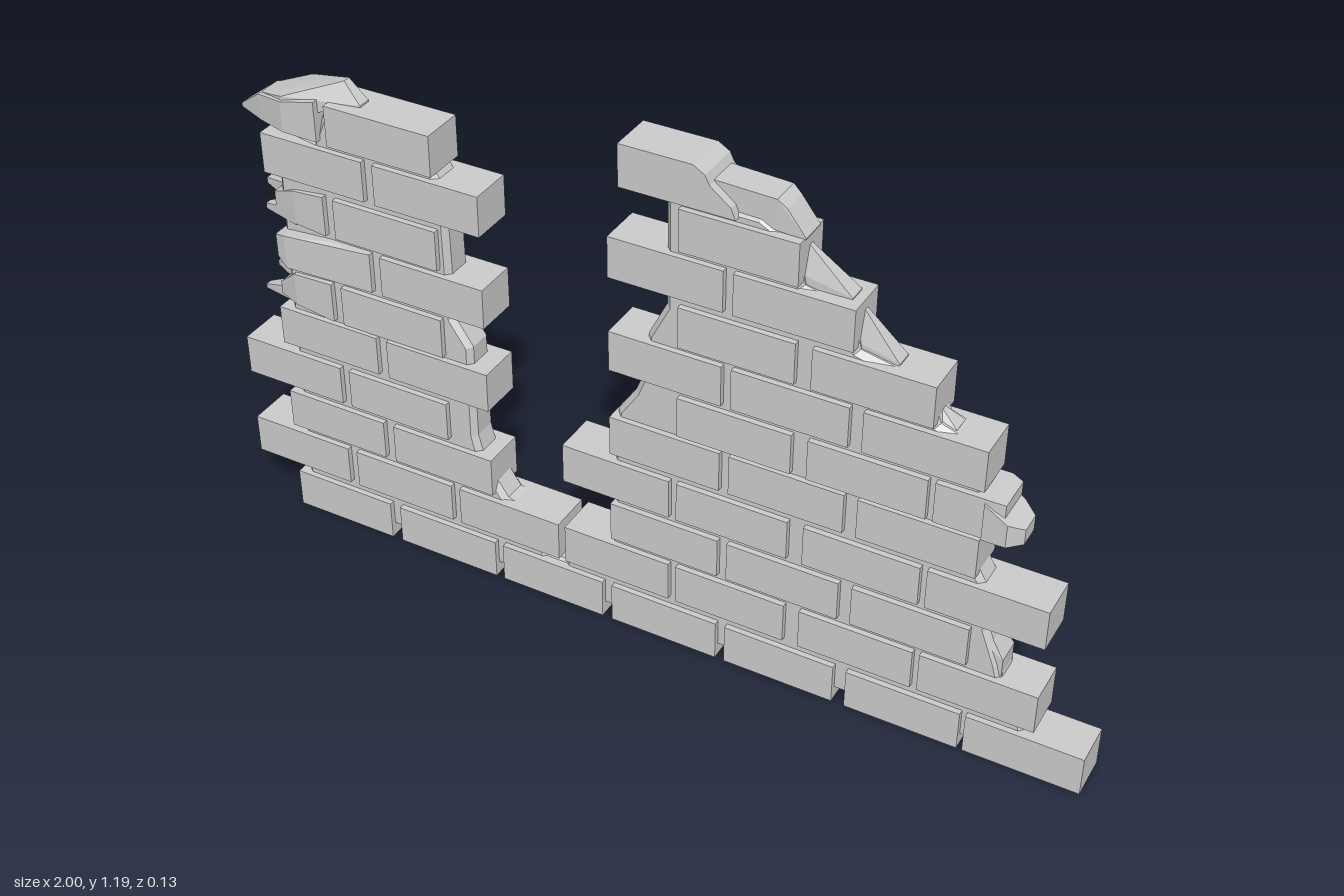
import * as THREE from 'three';
import { ConvexGeometry } from 'three/addons/geometries/ConvexGeometry.js';

const BRICK = { w: 0.252, h: 0.094, d: 0.1 };
// Height of each course, and brick starts for the two alternating bonds
const COURSE_Y = [0, 0.117, 0.227, 0.338, 0.453, 0.555, 0.664, 0.771, 0.885, 0.992, 1.096];
const STARTS = [
  [-0.895, -0.617, -0.345, -0.07, 0.203, 0.484, 0.748],
  [-1, -0.725, -0.452, -0.184, 0.085, 0.372, 0.639],
];
// Whole bricks remaining in each course
const WHOLE = [
  [0, 1, 2, 3, 4, 5, 6], [0, 1, 2, 3, 4, 5, 6], [0, 1, 3, 4, 5], [0, 1, 3, 4, 5, 6],
  [0, 1, 3, 4, 5], [1, 4, 5], [1, 3, 4, 5], [1, 4, 5], [0, 1, 3, 4], [1, 4],
];

export function createModel() {
  const group = new THREE.Group();
  const material = new THREE.MeshStandardMaterial({ color: 0xcccccc, flatShading: true });

  const add = (name, geometry) => {
    const mesh = new THREE.Mesh(geometry, material);
    mesh.name = name;
    group.add(mesh);
    return mesh;
  };

  // Flat outline in x/y extruded symmetrically about z = 0
  const slab = (name, points, depth, bevel = 0) => {
    const shape = new THREE.Shape(points.map(([x, y]) => new THREE.Vector2(x, y)));
    const geometry = new THREE.ExtrudeGeometry(shape, {
      depth: depth - 2 * bevel, bevelEnabled: bevel > 0, bevelSegments: 1,
      bevelSize: bevel, bevelThickness: bevel, bevelOffset: -bevel,
    });
    geometry.translate(0, 0, -depth / 2 + bevel);
    return add(name, geometry);
  };

  // Broken lump: hull through rectangular sections [x, yLow, yHigh, zBack, zFront]
  const shard = (name, sections) => {
    const points = [];
    for (const [x, y0, y1, z0, z1] of sections)
      for (const y of [y0, y1]) for (const z of [z0, z1]) points.push(new THREE.Vector3(x, y, z));
    return add(name, new ConvexGeometry(points));
  };

  // Whole bricks in running bond
  const brickGeometry = new THREE.BoxGeometry(BRICK.w, BRICK.h, BRICK.d);
  WHOLE.forEach((columns, row) => {
    for (const column of columns) {
      const brick = add('brick', brickGeometry);
      brick.position.set(STARTS[row % 2][column] + BRICK.w / 2, COURSE_Y[row] + BRICK.h / 2, 0);
    }
  });

  // Recessed mortar core, ragged along both broken columns
  slab('mortarCore', [
    [-0.88, 0.02], [0.96, 0.02], [0.94, 0.07], [0.87, 0.08], [0.86, 0.13], [0.81, 0.2],
    [0.8, 0.24], [0.77, 0.32], [0.77, 0.4], [0.735, 0.46], [0.73, 0.66], [0.72, 0.74],
    [0.63, 0.77], [0.6, 0.85], [0.46, 0.88], [0.44, 0.96], [0.34, 0.985], [0.325, 1.07],
    [0.25, 1.11], [0.05, 1.11], [0.05, 0.85], [0.01, 0.77], [0, 0.67], [-0.02, 0.62],
    [-0.06, 0.56], [-0.07, 0.48], [-0.07, 0.33], [-0.08, 0.21], [-0.17, 0.19], [-0.195, 0.1],
    [-0.24, 0.1], [-0.28, 0.2], [-0.34, 0.215], [-0.37, 0.26], [-0.4, 0.32], [-0.41, 0.36],
    [-0.41, 0.59], [-0.45, 0.65], [-0.455, 0.96], [-0.49, 1.01], [-0.49, 1.06], [-0.74, 1.06],
    [-0.77, 0.99], [-0.87, 0.97],
  ], 0.074, 0.012);

  // Chipped top brick with the lump lying against it
  slab('chippedTopBrick', [
    [-0.045, 1.096], [0.205, 1.096], [0.195, 1.12], [0.15, 1.155], [0.14, 1.175],
    [0.115, 1.19], [-0.045, 1.19],
  ], BRICK.d);
  shard('topRubble', [
    [0.13, 1.09, 1.158, -0.04, 0.03], [0.28, 1.09, 1.155, -0.035, 0.032],
    [0.3, 1.09, 1.14, -0.03, 0.03], [0.34, 1.085, 1.088, -0.03, 0.03],
  ]);

  // Mortar spikes standing on the stepped right-hand edge: [x, y, width, height]
  for (const [x, y, w, h] of [[0.335, 0.978, 0.1, 0.085], [0.452, 0.864, 0.085, 0.095], [0.62, 0.757, 0.04, 0.035]]) {
    shard('mortarSpike', [[x, y, y + h, -0.005, 0.005], [x, y, y + h * 0.3, -0.022, 0.022],
      [x + w * 0.45, y, y + h * 0.5, -0.008, 0.008], [x + w, y, y + 0.004, -0.02, 0.02]]);
  }
  shard('rightMortarLump', [[0.7, 0.22, 0.335, -0.035, 0.035], [0.76, 0.22, 0.325, -0.022, 0.022],
    [0.805, 0.205, 0.255, -0.03, 0.03]]);

  // Broken brick on the right-hand edge
  shard('brokenRightBrick', [
    [0.639, 0.555, 0.649, -0.05, 0.05], [0.755, 0.555, 0.649, -0.05, 0.05],
    [0.78, 0.56, 0.645, -0.04, 0.045],
  ]);
  shard('brokenRightTip', [[0.74, 0.555, 0.64, -0.04, 0.055], [0.79, 0.557, 0.61, -0.035, 0.057],
    [0.818, 0.557, 0.592, -0.02, 0.03]]);

  // Broken bricks down the left-hand edge, each with a jagged tip
  shard('brokenLeftBrick', [
    [-0.75, 0.555, 0.649, -0.05, 0.05], [-0.85, 0.565, 0.643, -0.046, 0.046],
    [-0.9, 0.57, 0.6, -0.02, 0.03],
  ]);
  shard('brokenLeftTip', [[-0.83, 0.56, 0.61, -0.03, 0.04], [-0.955, 0.557, 0.567, 0, 0.015]]);
  shard('brokenLeftTip', [[-0.82, 0.59, 0.645, -0.045, 0.03], [-0.935, 0.61, 0.62, -0.025, -0.01]]);

  shard('brokenLeftBrick', [
    [-0.642, 0.664, 0.758, -0.05, 0.05], [-0.75, 0.664, 0.758, -0.05, 0.05],
    [-0.85, 0.67, 0.75, -0.045, 0.066], [-0.875, 0.69, 0.745, -0.03, 0.06],
    [-0.892, 0.7, 0.73, -0.01, 0.03],
  ]);

  shard('brokenLeftBrick', [
    [-0.75, 0.771, 0.865, -0.05, 0.05], [-0.83, 0.775, 0.855, -0.068, 0.045],
    [-0.89, 0.775, 0.83, -0.05, 0.03],
  ]);
  shard('brokenLeftTip', [[-0.83, 0.79, 0.85, -0.05, 0.02], [-0.94, 0.815, 0.828, -0.025, -0.01]]);
  shard('brokenLeftTip', [[-0.83, 0.772, 0.81, -0.02, 0.045], [-0.925, 0.772, 0.785, 0.005, 0.02]]);

  shard('brokenLeftBrick', [
    [-0.75, 0.995, 1.087, -0.05, 0.05], [-0.83, 1.0, 1.07, -0.055, 0.055],
    [-0.9, 1, 1.06, -0.03, 0.035], [-0.965, 1.003, 1.012, -0.012, 0.012],
  ]);
  shard('leftTopRubble', [
    [-0.9, 1.04, 1.06, -0.025, 0.025], [-0.83, 1.04, 1.08, -0.06, 0.05],
    [-0.7, 1.08, 1.128, -0.012, 0.005], [-0.655, 1.08, 1.09, -0.01, 0.02],
  ]);
  return group;
}
